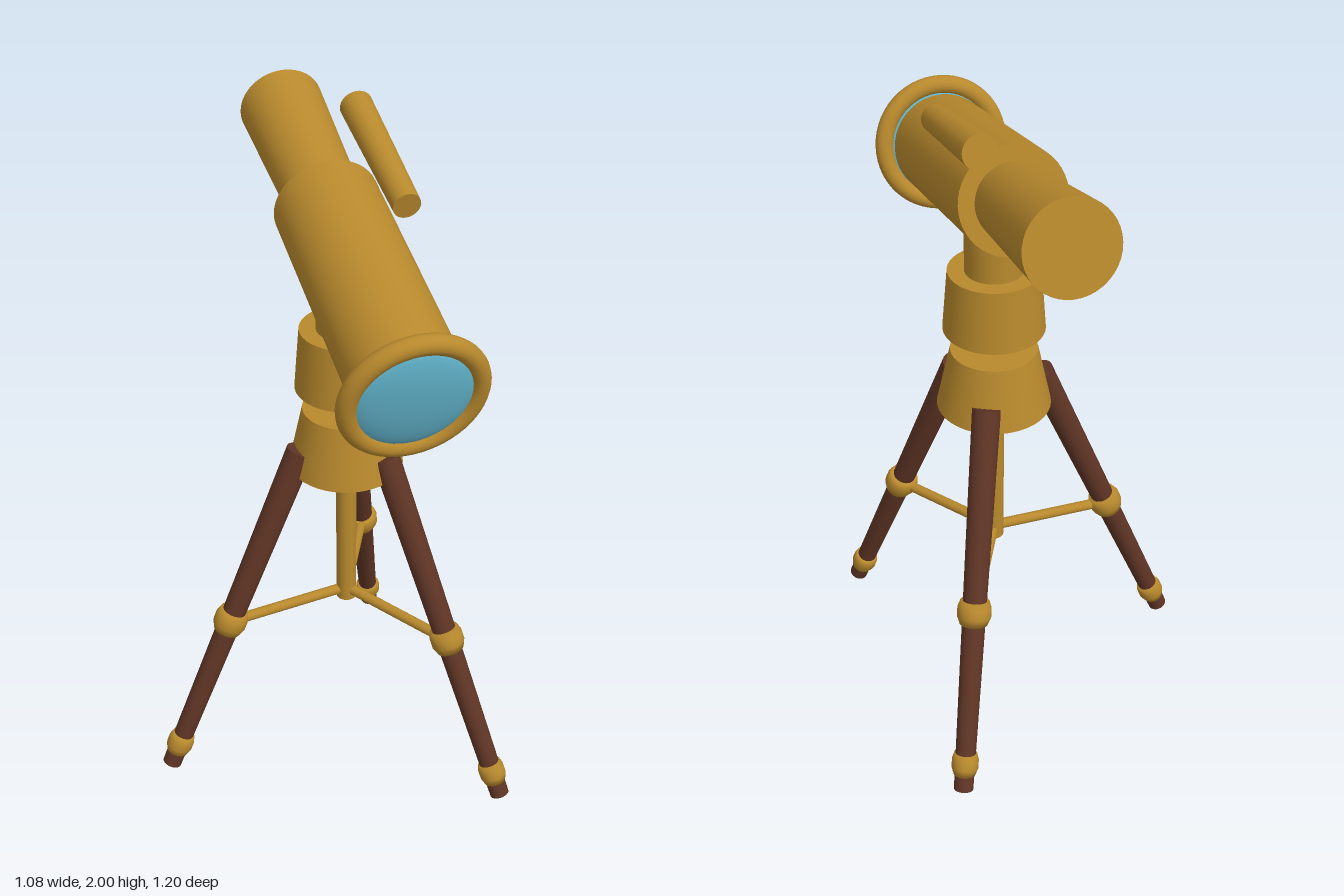
import * as THREE from 'three';

const UP = new THREE.Vector3(0, 1, 0);
const v = (x, y, z) => new THREE.Vector3(x, y, z);

export function createModel() {
  const brass = new THREE.MeshStandardMaterial({ name: 'brass', color: 0xb8892d });
  const wood = new THREE.MeshStandardMaterial({ name: 'darkWood', color: 0x5f3525 });
  const glass = new THREE.MeshStandardMaterial({ name: 'blueGlass', color: 0x62b4cc });

  const model = new THREE.Group();
  model.name = 'telescope';

  function add(parent, name, geometry, material) {
    const mesh = new THREE.Mesh(geometry, material);
    mesh.name = name;
    parent.add(mesh);
    return mesh;
  }

  // Tapered rod from point a (radius ra) to point b (radius rb)
  function rod(parent, name, a, b, ra, rb, material, sides = 32) {
    const mesh = add(parent, name, new THREE.CylinderGeometry(rb, ra, a.distanceTo(b), sides), material);
    mesh.position.copy(a).lerp(b, 0.5);
    mesh.quaternion.setFromUnitVectors(UP, b.clone().sub(a).normalize());
    return mesh;
  }

  // Tripod: hub, centre column and three splayed legs
  const tripod = new THREE.Group();
  tripod.name = 'tripod';
  tripod.position.z = -0.022;
  model.add(tripod);
  rod(tripod, 'hub', v(0, 1.005, 0), v(0, 1.19, 0), 0.165, 0.125, brass, 40);
  rod(tripod, 'swivelDrum', v(0, 1.26, 0), v(0, 1.445, 0), 0.145, 0.13, brass, 40);
  rod(tripod, 'neck', v(0, 1.44, 0), v(0, 1.6, 0), 0.083, 0.083, brass);
  rod(tripod, 'centreColumn', v(0, 0.505, 0), v(0, 1.02, 0), 0.03, 0.03, brass, 20);

  const top = v(0, 1.075, 0.14), foot = v(0, 0.013, 0.592);
  const collarShape = (r, h) => new THREE.LatheGeometry([
    [0, -h], [r * 0.8, -h], [r, -h * 0.3], [r, h * 0.4], [r * 0.85, h], [0, h],
  ].map(([x, y]) => new THREE.Vector2(x, y)), 20);

  for (let i = 0; i < 3; i++) {
    const side = new THREE.Group();
    side.name = ['frontLeg', 'leftLeg', 'rightLeg'][i];
    side.rotation.y = i * Math.PI * 2 / 3;
    tripod.add(side);
    const leg = rod(side, 'legPole', foot, top, 0.029, 0.041, wood, 20);
    for (const [name, t, r, h] of [['braceCollar', 0.478, 0.05, 0.036], ['footCollar', 0.07, 0.04, 0.034]]) {
      const collar = add(side, name, collarShape(r, h), brass);
      collar.position.copy(foot).lerp(top, t);
      collar.quaternion.copy(leg.quaternion);
    }
    rod(side, 'brace', v(0, 0.535, 0), v(0, 0.517, 0.37), 0.016, 0.016, brass, 12);
  }

  // Telescope: local +y runs along the axis from the lens to the eyepiece
  const yaw = THREE.MathUtils.degToRad(35), pitch = THREE.MathUtils.degToRad(14);
  const axis = v(Math.sin(yaw) * Math.cos(pitch), Math.sin(pitch), -Math.cos(yaw) * Math.cos(pitch));
  const scope = new THREE.Group();
  scope.name = 'scope';
  scope.position.set(-0.325, 1.557, 0.437);
  scope.quaternion.setFromUnitVectors(UP, axis);
  model.add(scope);

  rod(scope, 'mainTube', v(0, 0.03, 0), v(0, 0.75, 0), 0.148, 0.148, brass, 48);
  rod(scope, 'eyepiece', v(0, 0.7, 0), v(0, 1.214, 0), 0.102, 0.122, brass, 40);
  add(scope, 'lensRing', new THREE.TorusGeometry(0.172, 0.027, 16, 56), brass).rotation.x = Math.PI / 2;
  add(scope, 'lens', new THREE.SphereGeometry(0.162, 40, 20), glass).scale.y = 0.22;

  // Small finder tube parallel to the main tube
  const finderMid = v(0.15, 1.903, -0.02);
  rod(model, 'finder',
    finderMid.clone().addScaledVector(axis, -0.222),
    finderMid.clone().addScaledVector(axis, 0.222), 0.038, 0.046, brass, 28);

  return model;
}
